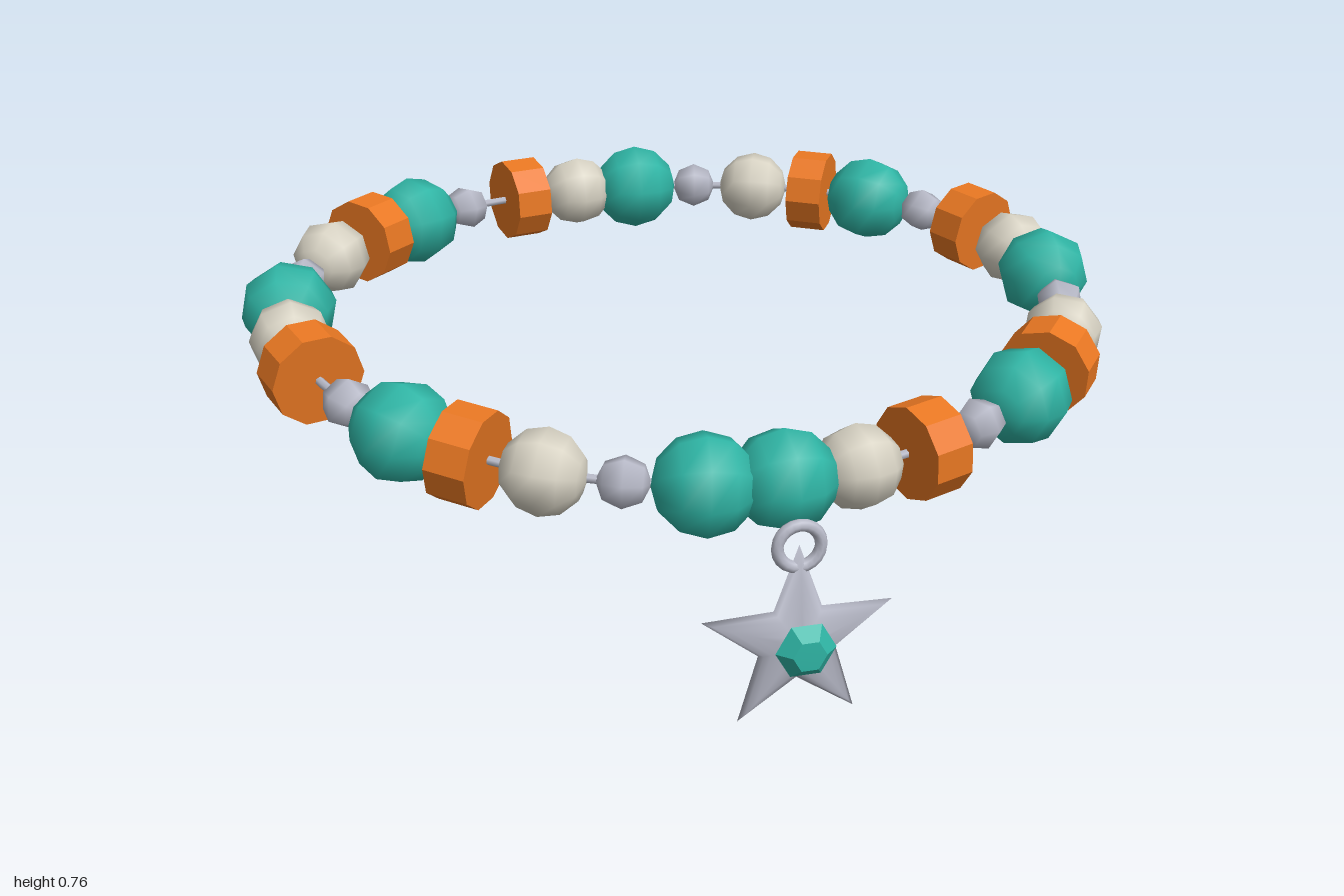
import * as THREE from 'three';
import { mergeVertices, toCreasedNormals } from 'three/addons/utils/BufferGeometryUtils.js';

const mat = (color) => new THREE.MeshStandardMaterial({ color });
const teal = mat(0x2fb5a5), orange = mat(0xe87722), cream = mat(0xd8d3c4), silver = mat(0xb8bac8);

// Bead shapes, all with the string running along y
const sharp = (g) => toCreasedNormals(g, 0.6);
const beads = {
  T: { name: 'tealBead', geometry: new THREE.SphereGeometry(0.108, 8, 6), material: teal },
  W: { name: 'creamBead', geometry: new THREE.SphereGeometry(0.09, 8, 6), material: cream },
  O: { name: 'orangeDisc', geometry: sharp(new THREE.CylinderGeometry(0.102, 0.102, 0.09, 10)), material: orange },
  S: { name: 'silverSpacer', geometry: new THREE.SphereGeometry(0.056, 6, 4), material: silver },
};
const pattern = 'TWOSTOWS';
const beadCount = 33;

// Closed oval string, rising toward the back
function stringCurve() {
  const points = [];
  for (let i = 0; i < 40; i++) {
    const a = (i / 40) * Math.PI * 2;
    const z = -0.04 + 0.772 * Math.cos(a);
    points.push(new THREE.Vector3(-0.006 + 0.893 * Math.sin(a), 0.593 - 0.12 * z - 0.06 * z * z, z));
  }
  return new THREE.CatmullRomCurve3(points, true);
}

// Puffed five-pointed star: a lens whose alternate spokes are pulled inward
function starGeometry(outer, inner, half) {
  const profile = [];
  for (let i = 0; i <= 10; i++) {
    const s = -1 + i / 5;
    profile.push(new THREE.Vector2(outer * (1 - Math.abs(s) ** 1.4), half * Math.sign(s) * Math.abs(s) ** 0.7));
  }
  let g = new THREE.LatheGeometry(profile, 10);
  const p = g.attributes.position;
  for (let i = 0; i < p.count; i++) {
    const spoke = Math.floor(i / profile.length);
    const k = spoke % 2 ? inner / outer : 1;
    p.setX(i, p.getX(i) * k);
    p.setZ(i, p.getZ(i) * k);
  }
  g.rotateX(-Math.PI / 2);
  g.deleteAttribute('normal');
  g.deleteAttribute('uv');
  g = mergeVertices(g);
  g.computeVertexNormals();
  return g;
}

export function createModel() {
  const model = new THREE.Group();
  const add = (name, geometry, material, parent = model) => {
    const mesh = new THREE.Mesh(geometry, material);
    mesh.name = name;
    parent.add(mesh);
    return mesh;
  };

  // String and beads
  const curve = stringCurve();
  curve.arcLengthDivisions = 800;
  add('string', new THREE.TubeGeometry(curve, 120, 0.01, 6, true), silver);
  const up = new THREE.Vector3(0, 1, 0);
  for (let i = 0; i < beadCount; i++) {
    const { name, geometry, material } = beads[pattern[i % pattern.length]];
    const bead = add(name, geometry, material);
    bead.position.copy(curve.getPointAt(i / beadCount));
    bead.quaternion.setFromUnitVectors(up, curve.getTangentAt(i / beadCount));
  }

  // Hanging charm: ring, star and gem
  const charm = new THREE.Group();
  charm.name = 'charm';
  charm.position.set(-0.006, 0.168, 0.83);
  model.add(charm);
  add('charmRing', new THREE.TorusGeometry(0.045, 0.013, 8, 20), silver, charm).position.y = 0.205;
  add('star', starGeometry(0.208, 0.085, 0.032), silver, charm);
  const gemProfile = [[0, -0.028], [0.035, -0.027], [0.063, 0], [0.035, 0.027], [0, 0.028]]
    .map(([r, y]) => new THREE.Vector2(r, y));
  const gem = sharp(new THREE.LatheGeometry(gemProfile, 6, Math.PI / 2).rotateX(-Math.PI / 2));
  add('gem', gem, teal, charm).position.set(0, 0.005, 0.055);
  return model;
}
